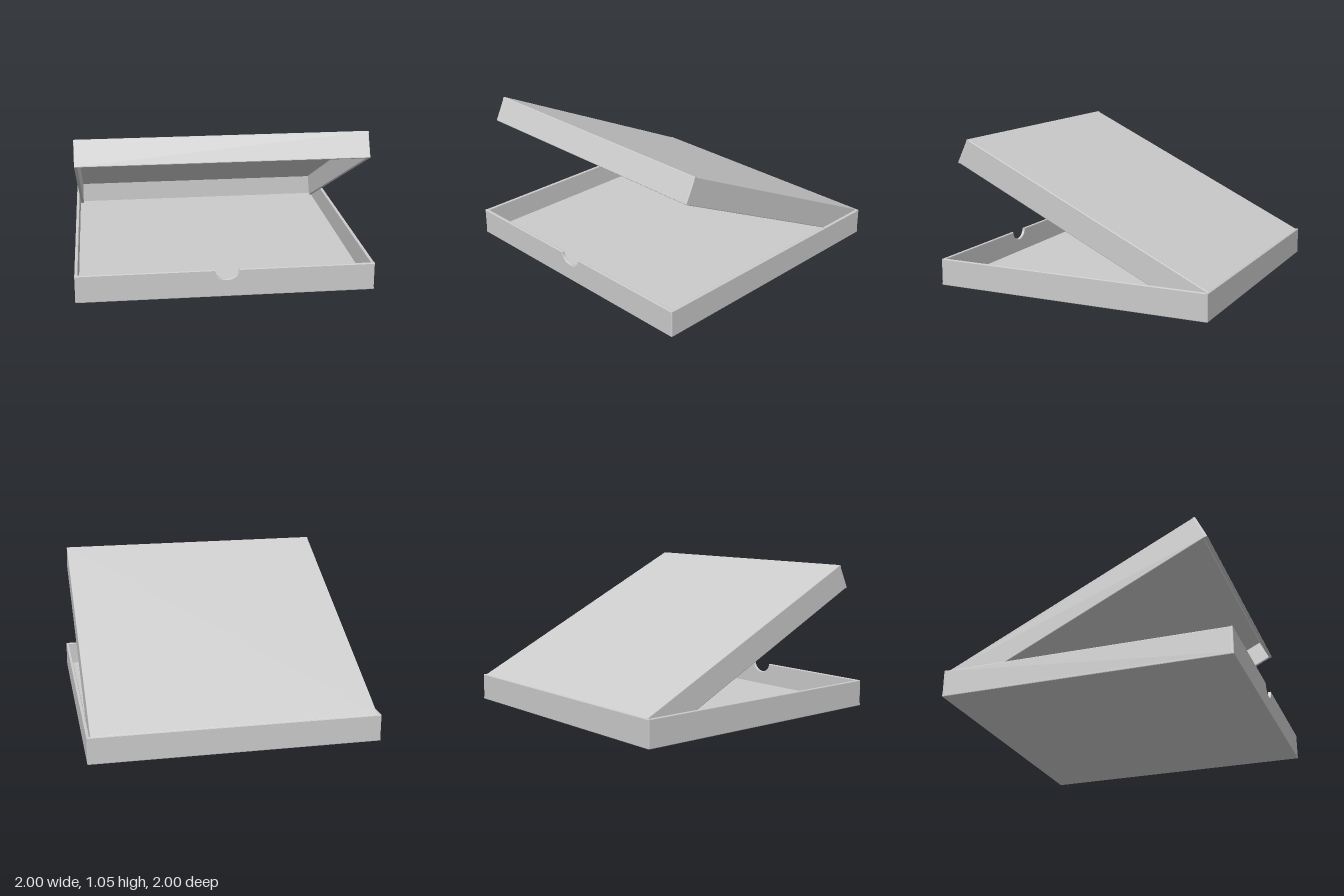
import * as THREE from 'three';

const T = 0.022;      // board thickness
const BEVEL = 0.005;  // softened board edges
const H = 0.19;       // tray height
const material = new THREE.MeshStandardMaterial({ color: 0xcccccc });

// Upright board w wide and h tall, centred on x and z, standing on y = 0.
// An optional half-round finger notch is cut into its top edge.
function board(name, w, h, notch) {
  const s = new THREE.Shape();
  s.moveTo(-w / 2, 0);
  s.lineTo(w / 2, 0);
  s.lineTo(w / 2, h);
  if (notch) {
    s.lineTo(notch.rx, h);
    s.absellipse(0, h, notch.rx, notch.ry, 0, Math.PI, true);
  }
  s.lineTo(-w / 2, h);
  s.closePath();
  const geometry = new THREE.ExtrudeGeometry(s, {
    depth: T - 2 * BEVEL,
    bevelThickness: BEVEL,
    bevelSize: BEVEL,
    bevelOffset: -BEVEL,
    bevelSegments: 2,
    curveSegments: 20,
  });
  geometry.translate(0, 0, BEVEL - T / 2);
  const mesh = new THREE.Mesh(geometry, material);
  mesh.name = name;
  return mesh;
}

// Board laid flat: its underside at y, running forward from z0 to z0 + d
function flatBoard(name, w, d, y, z0) {
  const mesh = board(name, w, d);
  mesh.rotation.x = Math.PI / 2;
  mesh.position.set(0, y + T / 2, z0);
  return mesh;
}

function createTray() {
  const tray = new THREE.Group();
  tray.name = 'tray';
  tray.add(flatBoard('trayFloor', 2, 2, 0, -1));

  // Walls overlap the floor slightly so that no gap shows
  const y = 0.008;
  const front = board('trayFrontWall', 2, H - y, { rx: 0.082, ry: 0.069 });
  front.position.set(0, y, 1 - T / 2);
  const back = board('trayBackWall', 2, H - y);
  back.position.set(0, y, -1 + T / 2);
  tray.add(front, back);
  for (const side of [1, -1]) {
    const wall = board(side > 0 ? 'trayLeftWall' : 'trayRightWall', 2 - T, H - y);
    wall.rotation.y = Math.PI / 2;
    wall.position.set(side * (1 - T / 2), y, 0);
    tray.add(wall);
  }
  return tray;
}

function createLid() {
  const W = 1.95, L = 1.965, D = 0.183;
  const lid = new THREE.Group();
  lid.name = 'lid';
  lid.add(flatBoard('lidPanel', W, L, -T, 0));

  const front = board('lidFrontFlap', W, D);
  front.position.set(0, -D, L - T / 2);
  lid.add(front);
  for (const side of [1, -1]) {
    const flap = board(side > 0 ? 'lidLeftFlap' : 'lidRightFlap', L - T, D);
    flap.rotation.y = Math.PI / 2;
    flap.position.set(side * (W - T) / 2, -D, L / 2 + T / 4);
    lid.add(flap);
  }

  // Hinged on the top rear edge of the tray, propped half open
  lid.position.set(0, H, -0.995);
  lid.rotation.x = -THREE.MathUtils.degToRad(25.9);
  return lid;
}

export function createModel() {
  const model = new THREE.Group();
  model.name = 'hingedBox';
  model.add(createTray(), createLid());
  return model;
}
